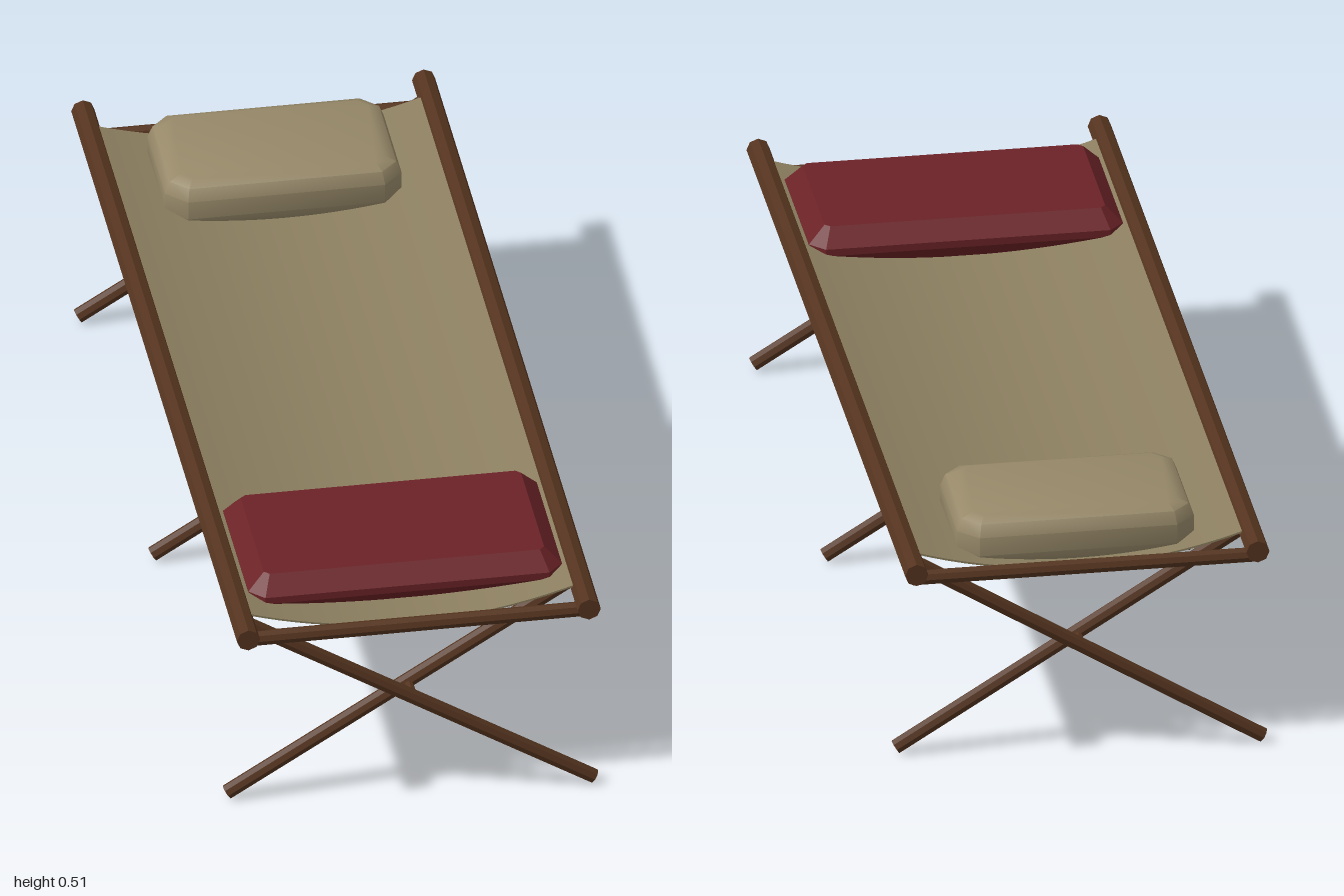
import * as THREE from 'three';
import { toCreasedNormals } from 'three/addons/utils/BufferGeometryUtils.js';

const material = (name, color) => {
  const m = new THREE.MeshStandardMaterial({ color });
  m.name = name;
  return m;
};

export function createModel() {
  const wood = material('dark wood', 0x55341f);
  const cloth = material('canvas', 0x8c7f60);
  const linen = material('pillow linen', 0x978969);
  const wool = material('red wool', 0x6b2226);

  const model = new THREE.Group();
  model.name = 'campBed';
  const add = (name, geometry, mat) => {
    const mesh = new THREE.Mesh(geometry, mat);
    mesh.name = name;
    model.add(mesh);
    return mesh;
  };

  // Eight-sided faceted pole between two points
  const pole = (name, a, b, radius) => {
    const from = new THREE.Vector3(...a), to = new THREE.Vector3(...b);
    const dir = to.clone().sub(from);
    const geometry = new THREE.CylinderGeometry(radius, radius, dir.length(), 8).toNonIndexed();
    geometry.computeVertexNormals();
    const mesh = add(name, geometry, wood);
    mesh.position.copy(from).add(to).multiplyScalar(0.5);
    mesh.quaternion.setFromUnitVectors(new THREE.Vector3(0, 1, 0), dir.normalize());
  };

  const railX = 0.346, railY = 0.458;

  // Side rails and end bars
  for (const s of [1, -1]) {
    pole(s > 0 ? 'leftRail' : 'rightRail', [s * railX, railY, -1], [s * railX, railY, 1], 0.0235);
    pole(s > 0 ? 'frontBar' : 'backBar', [-railX, 0.427, s * 0.946], [railX, 0.427, s * 0.946], 0.0155);
  }

  // Three pairs of crossed legs, each joined by a pivot pin
  for (const z of [0.898, 0, -0.898]) {
    for (const s of [1, -1]) {
      const legZ = z + s * 0.031;
      pole('leg', [s * 0.3675, 0.0165, legZ], [-s * railX, railY, legZ], 0.0155);
    }
    pole('pivotPin', [0, 0.24, z - 0.031], [0, 0.24, z + 0.031], 0.01);
  }

  // Sagging canvas: a thin curved strip swept along the bed
  const sag = (x) => 0.416 + 0.058 * (x / railX) ** 2;
  const section = new THREE.Shape();
  const steps = 20, halfWidth = 0.338;
  for (let i = 0; i <= steps; i++) {
    const x = -halfWidth + (2 * halfWidth * i) / steps;
    if (i === 0) section.moveTo(x, sag(x) - 0.004);
    else section.lineTo(x, sag(x) - 0.004);
  }
  for (let i = steps; i >= 0; i--) {
    const x = -halfWidth + (2 * halfWidth * i) / steps;
    section.lineTo(x, sag(x));
  }
  const sheet = new THREE.ExtrudeGeometry(section, { depth: 1.84, bevelEnabled: false });
  sheet.translate(0, 0, -0.92);
  add('canvasSheet', toCreasedNormals(sheet, 0.6), cloth);

  // Padded block with chamfered corners and bevelled rims
  const cushion = (width, length, bottom, top, rim, bevel, corner, segments) => {
    const w = width / 2, l = length / 2;
    const outline = new THREE.Shape([
      [w - corner, -l], [w, corner - l], [w, l - corner], [w - corner, l],
      [corner - w, l], [-w, l - corner], [-w, corner - l], [corner - w, -l],
    ].map(([x, y]) => new THREE.Vector2(x, y)));
    const geometry = new THREE.ExtrudeGeometry(outline, {
      depth: top - bottom - 2 * rim, bevelThickness: rim,
      bevelSize: bevel, bevelOffset: -bevel, bevelSegments: segments,
    });
    geometry.rotateX(-Math.PI / 2);
    geometry.translate(0, bottom + rim, 0);
    return geometry;
  };

  // Folded blanket at the foot
  const blanket = cushion(0.637, 0.365, 0.417, 0.502, 0.035, 0.034, 0.03, 1);
  add('blanket', toCreasedNormals(blanket, 0.5), wool).position.z = 0.682;

  // Pillow at the head
  const pillow = cushion(0.48, 0.297, 0.402, 0.514, 0.036, 0.034, 0.04, 2);
  add('pillow', toCreasedNormals(pillow, 0.8), linen).position.z = -0.743;

  return model;
}
